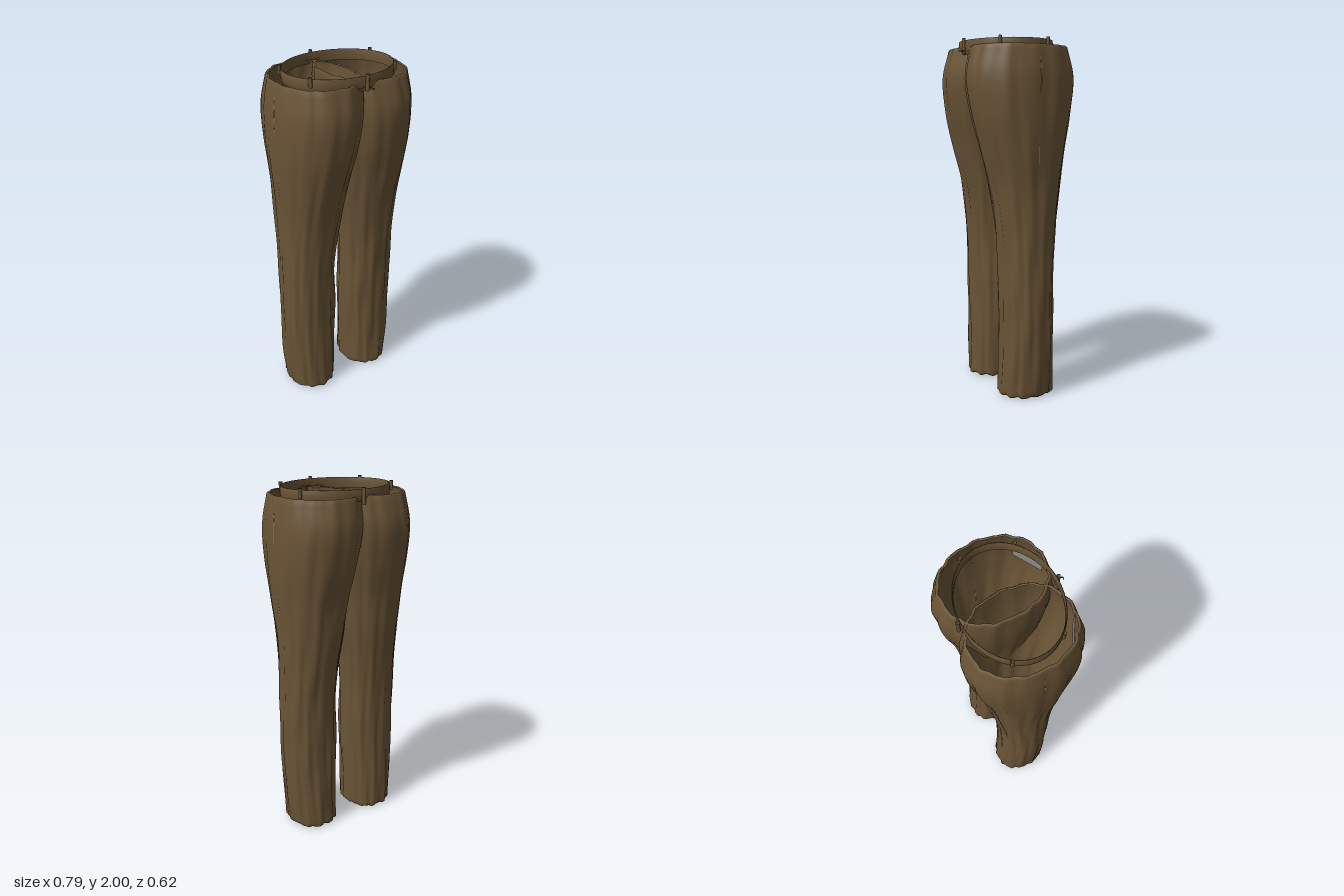
import * as THREE from 'three';

// Leg cross-sections, bottom to top: height, inner x, outer x, back z, front z
const SECTIONS = [
  [0, 0.063, 0.338, -0.174, 0.143],
  [0.2, 0.057, 0.357, -0.168, 0.138],
  [0.4, 0.05, 0.367, -0.158, 0.134],
  [0.6, 0.047, 0.369, -0.156, 0.138],
  [0.8, 0.05, 0.367, -0.162, 0.143],
  [1.0, 0.038, 0.365, -0.182, 0.158],
  [1.2, 0.01, 0.369, -0.212, 0.188],
  [1.4, -0.015, 0.382, -0.238, 0.238],
  [1.6, -0.05, 0.393, -0.282, 0.286],
  [1.8, -0.075, 0.391, -0.306, 0.306],
  [1.95, -0.08, 0.37, -0.272, 0.272],
];
const profile = new THREE.CubicInterpolant(
  SECTIONS.map((s) => s[0]), SECTIONS.flatMap((s) => s.slice(1)), 4, new Float32Array(4));

const ROWS = 72, COLS = 72;

// Point on a leg surface; inset shrinks the section for the turned edges
function legPoint(side, y, angle, inset = 0) {
  const [x0, x1, z0, z1] = profile.evaluate(Math.min(y, 1.95));
  const c = Math.cos(angle), s = Math.sin(angle);
  const soft = (v) => Math.sign(v) * Math.abs(v) ** 0.92;
  // Long slanting cloth folds, slightly different on each leg
  const fold = 0.0035 * Math.sin(13 * angle + 3 * y + side)
    + 0.0025 * Math.sin(22 * angle - 4 * y + 2 * side)
    + 0.002 * Math.sin(5 * angle + 14 * y) * (1 - y / 3);
  const a = (x1 - x0) / 2 - inset + fold, b = (z1 - z0) / 2 - inset + fold;
  return [side * ((x0 + x1) / 2 + a * soft(c)), y, (z0 + z1) / 2 + b * soft(s)];
}

function legGeometry(side) {
  const rings = [[0.012, 0.02], [0.004, 0.008]];
  for (let i = 0; i <= ROWS; i++) rings.push([0.012 + (1.935 * i) / ROWS, 0]);
  rings.push([1.955, 0.006], [1.95, 0.014]);
  const pos = [], index = [];
  rings.forEach(([y, inset], i) => {
    for (let j = 0; j < COLS; j++) {
      const t = (j / COLS) * Math.PI * 2;
      const p = legPoint(side, y, t, inset);
      // Uneven hem
      if (y < 0.03) p[1] = Math.max(0, p[1] + 0.005 * Math.sin(11 * t));
      pos.push(...p);
      if (i === rings.length - 1) continue;
      const k = (j + 1) % COLS;
      const p0 = i * COLS + j, p1 = i * COLS + k, q0 = p0 + COLS, q1 = p1 + COLS;
      if (side > 0) index.push(p0, q0, p1, p1, q0, q1);
      else index.push(p0, p1, q0, p1, q1, q0);
    }
  });
  const g = new THREE.BufferGeometry();
  g.setAttribute('position', new THREE.Float32BufferAttribute(pos, 3));
  g.setIndex(index);
  g.computeVertexNormals();
  return g;
}

export function createModel() {
  const model = new THREE.Group();
  model.name = 'trousers';
  const cloth = new THREE.MeshStandardMaterial({ color: 0x6a5436, side: THREE.DoubleSide });
  cloth.name = 'brown cloth';
  const thread = new THREE.MeshStandardMaterial({ color: 0x8c8a86, side: THREE.DoubleSide });
  thread.name = 'grey lining';

  const add = (name, geometry, material, x = 0, y = 0, z = 0) => {
    const mesh = new THREE.Mesh(geometry, material);
    mesh.name = name;
    mesh.position.set(x, y, z);
    model.add(mesh);
    return mesh;
  };

  for (const side of [1, -1]) {
    const label = side > 0 ? 'left' : 'right';
    add(label + 'Leg', legGeometry(side), cloth);

    // Short stretches of thin side seam
    for (const [low, high] of [[1.7, 1.88], [1.32, 1.42]]) {
      const points = [];
      for (let i = 0; i <= 6; i++) {
        const [x, y, z] = legPoint(side, low + ((high - low) * i) / 6, 0);
        points.push(new THREE.Vector3(x - side * 0.001, y, z));
      }
      const path = new THREE.CatmullRomCurve3(points);
      add(label + 'SideSeam', new THREE.TubeGeometry(path, 12, 0.002, 5), thread);
    }

    // Pocket lining inside the front of the hip
    const pocket = add(label + 'PocketLining', new THREE.BoxGeometry(0.17, 0.12, 0.004), thread,
      side * 0.233, 1.84, 0.232);
    pocket.rotation.y = side * 0.53;
  }

  // Oval waistband
  const bandProfile = [[0.985, 1.93], [1, 1.93], [1.008, 1.96], [1, 1.99], [0.985, 1.99],
    [0.978, 1.96], [0.985, 1.93]].map(([r, y]) => new THREE.Vector2(r, y));
  const band = add('waistband', new THREE.LatheGeometry(bandProfile, 64), cloth, 0, 0, 0.01);
  band.scale.set(0.311, 1, 0.25);

  // Belt loops: small open sleeves around the waistband
  const loops = [[0, 0.265, 1.915], [0, -0.25, 1.915], [-0.278, -0.117, 1.95],
    [0.29, -0.1, 1.95], [-0.263, 0.152, 1.95], [0.248, 0.167, 1.95]];
  for (const [x, z, low] of loops) {
    add('beltLoop', new THREE.CylinderGeometry(0.01, 0.01, 2 - low, 12, 1, true), cloth,
      x, (2 + low) / 2, z);
  }

  // Small fastening hook beside the front loop
  const hook = new THREE.CatmullRomCurve3([[0.016, 0.268], [0.018, 0.29], [0.014, 0.302],
    [0.004, 0.3]].map(([x, z]) => new THREE.Vector3(x, 1.93, z)));
  add('frontHook', new THREE.TubeGeometry(hook, 12, 0.003, 6), cloth).scale.y = 1;
  add('frontTab', new THREE.BoxGeometry(0.075, 0.035, 0.006), cloth, 0, 1.932, 0.25);

  return model;
}
